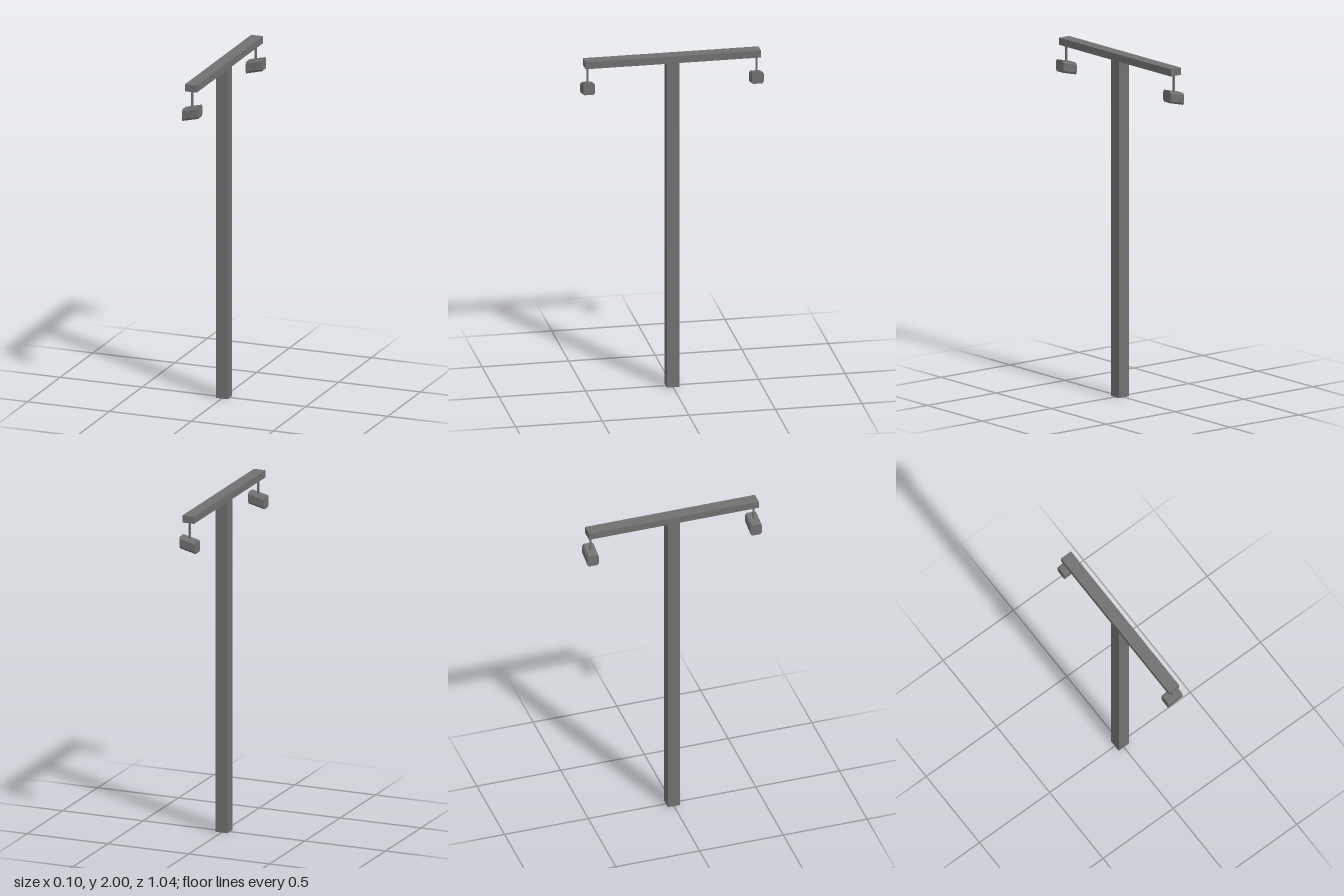
import * as THREE from 'three';

const material = new THREE.MeshStandardMaterial({ color: 0x707070, flatShading: true, side: THREE.DoubleSide });

function addMesh(parent, name, geometry, position) {
  const mesh = new THREE.Mesh(geometry, material);
  mesh.name = name;
  mesh.position.set(...position);
  parent.add(mesh);
}

// Chamfered block running along x, sheared so its +x end sits higher
function housingGeometry(length, height, width, slope) {
  const w = width / 2, h = height / 2, cz = 0.008, cy = 0.012;
  const profile = new THREE.Shape([
    [-w + cz, -h], [w - cz, -h], [w, -h + cy], [w, h - cy],
    [w - cz, h], [-w + cz, h], [-w, h - cy], [-w, -h + cy],
  ].map(([x, y]) => new THREE.Vector2(x, y)));
  const geometry = new THREE.ExtrudeGeometry(profile, { depth: length, bevelEnabled: false });
  geometry.translate(0, 0, -length / 2);
  geometry.rotateY(Math.PI / 2);
  const p = geometry.attributes.position;
  for (let i = 0; i < p.count; i++) p.setY(i, p.getY(i) + slope * p.getX(i));
  geometry.computeVertexNormals();
  return geometry;
}

export function createModel() {
  const model = new THREE.Group();
  model.name = 'twinHeadPole';

  // Hollow square post, open at the foot, with the crossbeam on top
  const radius = 0.036 * Math.SQRT2;
  const post = new THREE.CylinderGeometry(radius, radius, 1.958, 4, 1, true).rotateY(Math.PI / 4);
  addMesh(model, 'post', post, [0, 0.979, 0]);
  addMesh(model, 'crossbeam', new THREE.BoxGeometry(0.072, 0.042, 1.014), [0, 1.979, 0]);

  // A hanging head at each end of the beam
  const rod = new THREE.BoxGeometry(0.01, 0.11, 0.01);
  const housing = housingGeometry(0.097, 0.07, 0.068, 0.245);
  for (const side of [1, -1]) {
    const head = new THREE.Group();
    head.name = side > 0 ? 'frontHead' : 'backHead';
    head.position.z = side * 0.487;
    addMesh(head, 'hangerRod', rod, [0, 1.91, 0]);
    addMesh(head, 'housing', housing, [0, 1.829, 0]);
    model.add(head);
  }
  return model;
}
